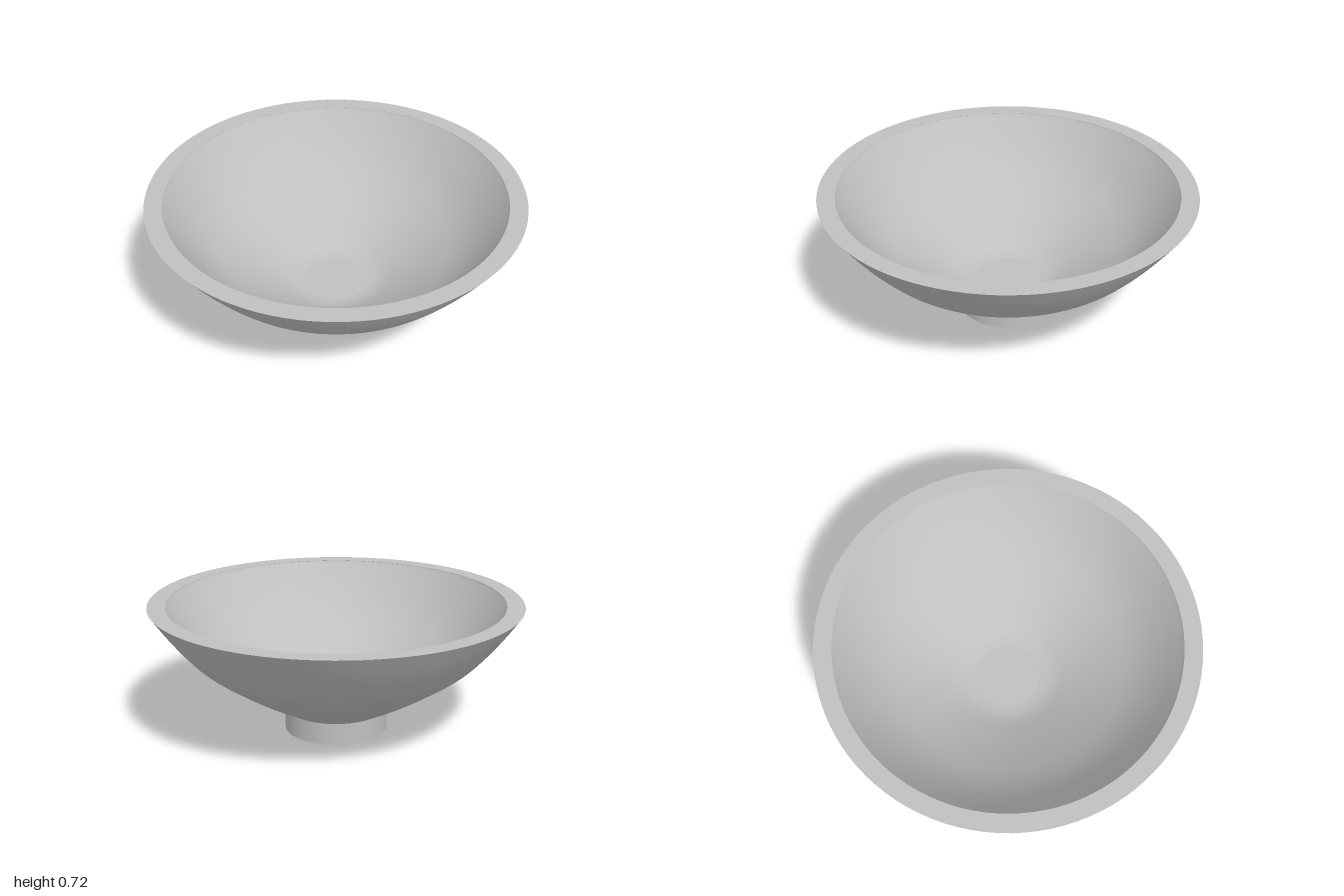
import * as THREE from 'three';

const SIDES = 96;
const TOP = 0.72;

export function createModel() {
  const group = new THREE.Group();
  group.name = 'bowl';
  const clay = new THREE.MeshStandardMaterial({ color: 0xc0c0c0 });
  clay.name = 'pale grey clay';

  // Revolve a profile of [radius, height] pairs; smooth ones are splined first
  const turn = (name, profile, samples = 0) => {
    let points = profile.map(([r, y]) => new THREE.Vector2(r, y));
    if (samples) points = new THREE.SplineCurve(points).getPoints(samples);
    points.forEach((p) => { p.x = Math.max(p.x, 0); });
    const mesh = new THREE.Mesh(new THREE.LatheGeometry(points, SIDES), clay);
    mesh.name = name;
    group.add(mesh);
  };

  // Foot ring with a shallow hollow underneath
  turn('footHollow', [[0, 0.05], [0.274, 0.05]]);
  turn('footInnerWall', [[0.274, 0.05], [0.274, 0]]);
  turn('footEdge', [[0.274, 0], [0.28, 0]]);
  turn('footWall', [[0.28, 0], [0.28, 0.12]]);

  // Flaring outside of the bowl
  turn('outerWall', [[0.28, 0.12], [0.43, 0.202], [0.57, 0.288], [0.73, 0.4],
    [0.82, 0.487], [0.91, 0.595], [1, TOP]], 32);

  // Flat lip
  turn('rim', [[1, TOP], [0.905, TOP]]);

  // Inside, running down to a small flat floor
  turn('innerWall', [[0.905, TOP], [0.9, 0.705], [0.82, 0.595], [0.73, 0.49],
    [0.63, 0.4], [0.48, 0.295], [0.34, 0.21], [0.25, 0.165], [0.18, 0.15]], 40);
  turn('floor', [[0.18, 0.15], [0, 0.15]]);

  return group;
}
